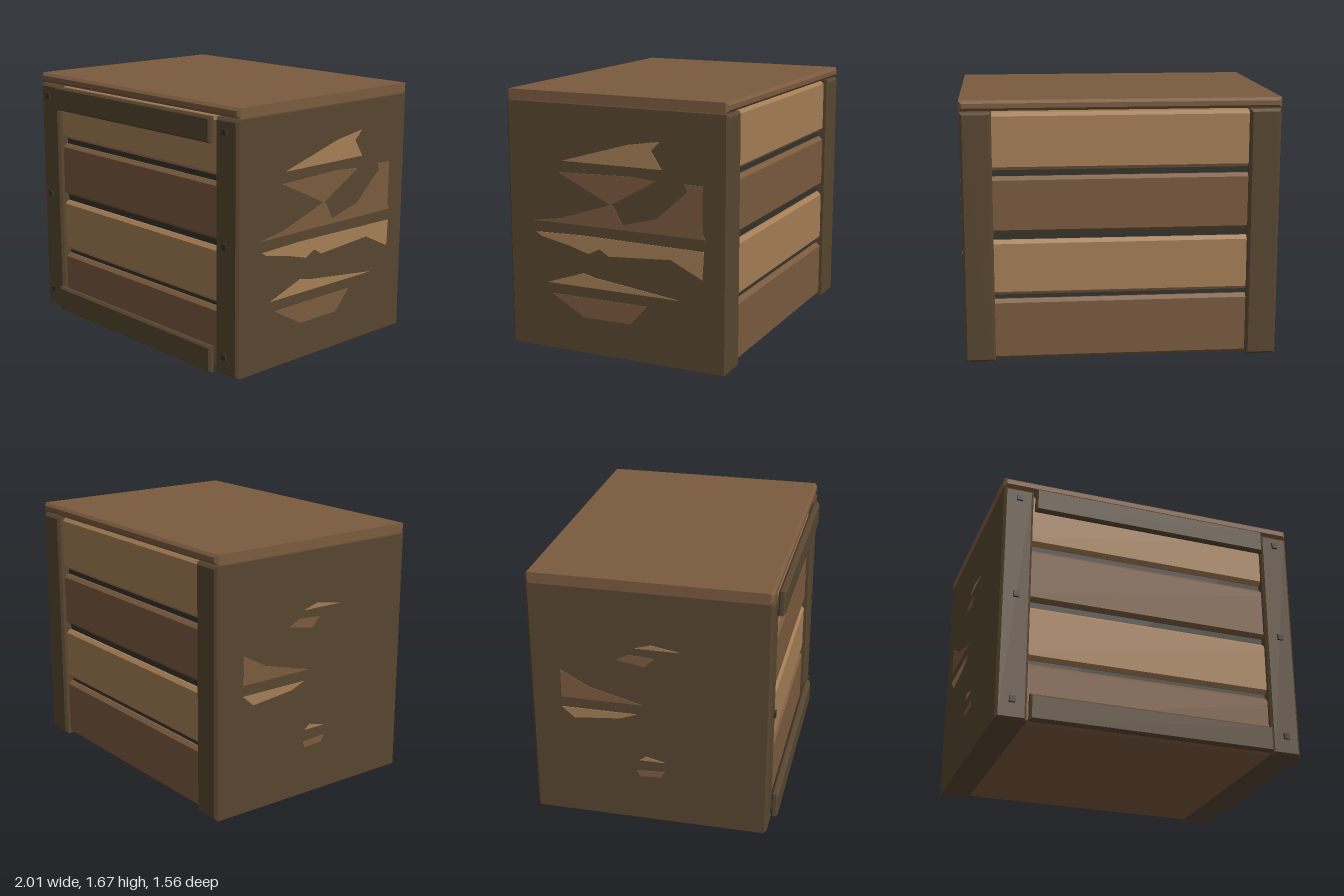
import * as THREE from 'three';

const mat = (name, color) => {
  const m = new THREE.MeshStandardMaterial({ color });
  m.name = name;
  return m;
};

// Box with chamfered edges, given by its extents
function chamferBox(name, material, [x0, x1], [y0, y1], [z0, z1], c) {
  const s = new THREE.Shape();
  s.moveTo(x0 + c, y0 + c);
  s.lineTo(x1 - c, y0 + c);
  s.lineTo(x1 - c, y1 - c);
  s.lineTo(x0 + c, y1 - c);
  s.closePath();
  const g = new THREE.ExtrudeGeometry(s, {
    depth: z1 - z0 - 2 * c, bevelEnabled: true, bevelSegments: 1, bevelSize: c, bevelThickness: c,
  });
  g.translate(0, 0, z0 + c);
  const mesh = new THREE.Mesh(g, material);
  mesh.name = name;
  return mesh;
}

// Thin wood splinter on a side wall, outlined by [z, y] points
function splinter(material, side, points) {
  const s = new THREE.Shape(points.map(([z, y]) => new THREE.Vector2(-side * z, y)));
  const g = new THREE.ExtrudeGeometry(s, { depth: 0.005, bevelEnabled: false });
  g.rotateY(side * Math.PI / 2);
  g.translate(side * 0.999, 0, 0);
  const mesh = new THREE.Mesh(g, material);
  mesh.name = 'sideSplinter';
  return mesh;
}

export function createModel() {
  const crate = new THREE.Group();
  crate.name = 'crate';
  const brown = mat('brown wood', 0x7b5b3f);
  const light = mat('light wood', 0xa57e56);
  const frame = mat('dark frame wood', 0x584630);
  const iron = mat('dark iron', 0x34322b);

  // Stacked planks running through the crate, in alternating tones
  [[0.005, 0.4], [0.43, 0.785], [0.83, 1.19], [1.23, 1.59]].forEach((y, i) => {
    crate.add(chamferBox('plank', i % 2 ? light : brown, [-0.985, 0.985], y, [-0.745, 0.705], 0.022));
  });

  // Dark core seen in the gaps
  const core = new THREE.Mesh(new THREE.BoxGeometry(1.8, 1.5, 1.38), iron);
  core.name = 'core';
  core.position.set(0, 0.8, -0.02);
  crate.add(core);

  // Lid
  crate.add(chamferBox('lid', brown, [-1, 1], [1.605, 1.67], [-0.78, 0.738], 0.018));

  // Side walls, with three nails on the front edge of each
  for (const side of [-1, 1]) {
    const x = side > 0 ? [0.803, 0.998] : [-0.998, -0.803];
    crate.add(chamferBox('sideWall', frame, x, [0.002, 1.598], [-0.782, 0.742], 0.016));
    for (const y of [0.125, 0.825, 1.52]) {
      const nail = new THREE.Mesh(new THREE.BoxGeometry(0.038, 0.038, 0.014), iron);
      nail.name = 'nail';
      nail.position.set(side * 0.9, y, 0.756);
      crate.add(nail);
    }
  }

  // Front rails
  for (const y of [[0, 0.168], [1.44, 1.6]]) {
    crate.add(chamferBox('frontRail', frame, [-0.797, 0.797], y, [0.735, 0.782], 0.013));
  }

  // Plank ends breaking through the left wall
  const leftSplinters = [
    [light, [[0.34, 1.24], [-0.12, 1.375], [-0.34, 1.41], [-0.28, 1.35], [-0.35, 1.24]]],
    [brown, [[0.37, 1.165], [-0.12, 1.18], [-0.31, 1.165], [0, 0.99]]],
    [brown, [[0, 0.99], [0.36, 0.87], [0.55, 0.84], [-0.64, 0.84], [-0.62, 0.87], [-0.62, 1.165],
      [-0.5, 1.165], [-0.52, 1.12], [-0.31, 0.93], [-0.08, 0.87], [-0.02, 0.98]]],
    [light, [[0.54, 0.765], [0.2, 0.775], [-0.63, 0.765], [-0.62, 0.59], [-0.41, 0.69], [0.02, 0.66],
      [0.08, 0.7], [0.16, 0.66], [0.3, 0.7], [0.5, 0.74]]],
    [light, [[0.46, 0.44], [0.2, 0.53], [0.12, 0.51], [-0.46, 0.44]]],
    [brown, [[0.43, 0.37], [-0.25, 0.37], [-0.13, 0.24], [0.2, 0.24]]],
  ];
  // Smaller ones on the right wall
  const rightSplinters = [
    [light, [[-0.1, 1.23], [0, 1.26], [0.18, 1.23]]],
    [brown, [[-0.22, 1.14], [-0.14, 1.18], [0.02, 1.17], [-0.04, 1.11]]],
    [brown, [[-0.58, 1.03], [-0.4, 0.93], [-0.06, 0.84], [-0.58, 0.84]]],
    [light, [[-0.58, 0.77], [-0.1, 0.77], [-0.2, 0.73], [-0.5, 0.7]]],
    [light, [[-0.08, 0.44], [-0.04, 0.47], [0.08, 0.44]]],
    [brown, [[-0.1, 0.36], [0.08, 0.37], [0.06, 0.33], [-0.08, 0.32]]],
  ];
  leftSplinters.forEach(([m, p]) => crate.add(splinter(m, 1, p)));
  rightSplinters.forEach(([m, p]) => crate.add(splinter(m, -1, p)));

  return crate;
}
